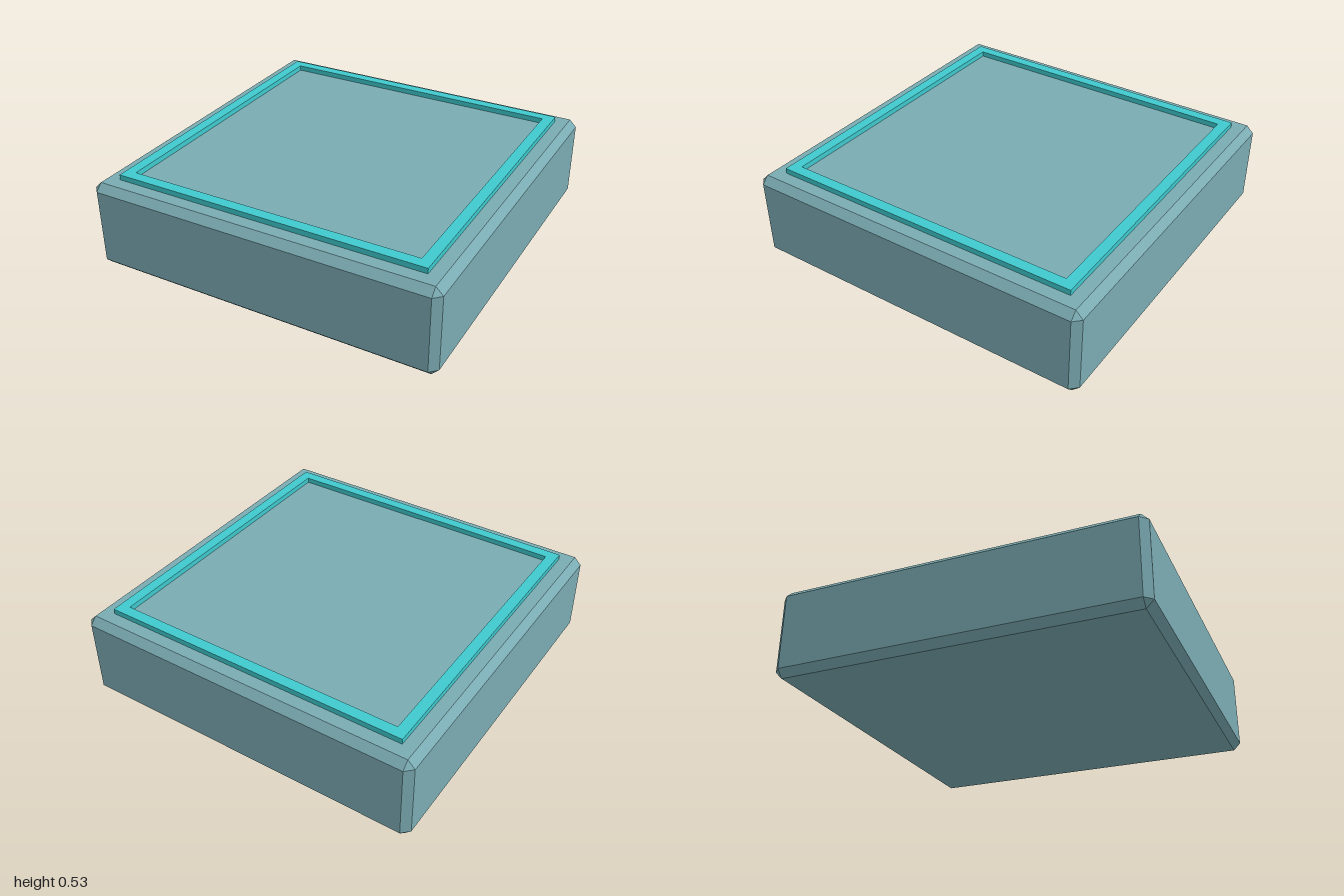
import * as THREE from 'three';
import { ConvexGeometry } from 'three/addons/geometries/ConvexGeometry.js';

const HALF = 1, HEIGHT = 0.5, BEVEL = 0.04;
const TRIM_OUTER = 0.89, TRIM_INNER = 0.83, TRIM_HEIGHT = 0.03;

// Box with every edge and corner cut flat: three points per corner
function chamferedBox(hx, hy, hz, c) {
  const points = [];
  for (const x of [-1, 1]) for (const y of [-1, 1]) for (const z of [-1, 1]) {
    points.push(
      new THREE.Vector3(x * hx, y * (hy - c), z * (hz - c)),
      new THREE.Vector3(x * (hx - c), y * hy, z * (hz - c)),
      new THREE.Vector3(x * (hx - c), y * (hy - c), z * hz)
    );
  }
  return new ConvexGeometry(points);
}

function square(target, r) {
  target.moveTo(-r, -r).lineTo(r, -r).lineTo(r, r).lineTo(-r, r).closePath();
  return target;
}

export function createModel() {
  const model = new THREE.Group();
  model.name = 'floorTile';

  const slabMaterial = new THREE.MeshStandardMaterial({ color: 0x7aabb2, flatShading: true });
  slabMaterial.name = 'greyTeal';
  const trimMaterial = new THREE.MeshStandardMaterial({ color: 0x3ec9cd, flatShading: true });
  trimMaterial.name = 'brightCyan';

  // Bevelled slab
  const slab = new THREE.Mesh(chamferedBox(HALF, HEIGHT / 2, HALF, BEVEL), slabMaterial);
  slab.name = 'slab';
  slab.position.y = HEIGHT / 2;
  model.add(slab);

  // Raised square trim on the top face
  const outline = square(new THREE.Shape(), TRIM_OUTER);
  outline.holes.push(square(new THREE.Path(), TRIM_INNER));
  const trimGeometry = new THREE.ExtrudeGeometry(outline, { depth: TRIM_HEIGHT, bevelEnabled: false });
  trimGeometry.rotateX(-Math.PI / 2);
  const trim = new THREE.Mesh(trimGeometry, trimMaterial);
  trim.name = 'raisedTrim';
  trim.position.y = HEIGHT;
  model.add(trim);

  return model;
}
